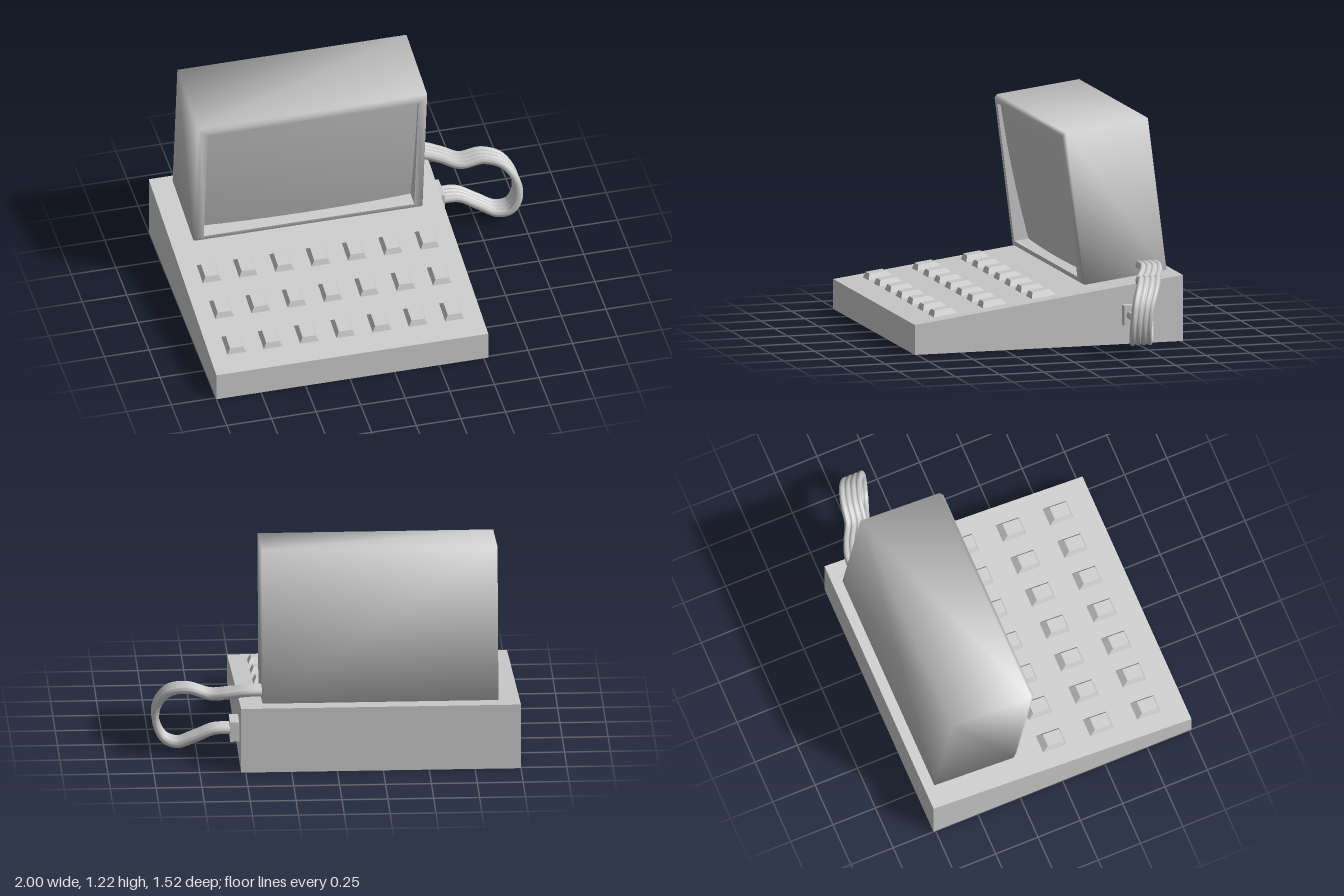
import * as THREE from 'three';

const grey = new THREE.MeshStandardMaterial({ color: 0xcccccc });

function add(parent, name, geometry) {
  const mesh = new THREE.Mesh(geometry, grey);
  mesh.name = name;
  parent.add(mesh);
  return mesh;
}

// Skin a list of closed cross-sections, each counter-clockwise about the direction of travel
function loft(rings, flat) {
  const n = rings[0].length;
  const index = [];
  for (let k = 0; k < rings.length - 1; k++) {
    for (let i = 0; i < n; i++) {
      const a = k * n + i, b = k * n + (i + 1) % n;
      index.push(a, b, b + n, a, b + n, a + n);
    }
  }
  let g = new THREE.BufferGeometry().setFromPoints(rings.flat());
  g.setIndex(index);
  if (flat) g = g.toNonIndexed();
  g.computeVertexNormals();
  return g;
}

// Rectangle ring of half sizes hx, hy at depth z
const rect = (hx, hy, z, oy = 0) =>
  [[-1, -1], [1, -1], [1, 1], [-1, 1]].map(([x, y]) => new THREE.Vector3(x * hx, y * hy + oy, z));

// Wedge-shaped keyboard base
const FRONT_H = 0.165, BACK_H = 0.365, HALF_D = 0.762;
const SLOPE = (BACK_H - FRONT_H) / (2 * HALF_D);

function buildBase(parent) {
  const shape = new THREE.Shape([
    new THREE.Vector2(-HALF_D, 0), new THREE.Vector2(HALF_D, 0),
    new THREE.Vector2(HALF_D, FRONT_H), new THREE.Vector2(-HALF_D, BACK_H),
  ]);
  const g = new THREE.ExtrudeGeometry(shape, { depth: 1.525, bevelEnabled: false });
  g.rotateY(-Math.PI / 2).translate(0.525, 0, 0);
  add(parent, 'base', g);
}

// Three rows of seven tapered keys lying on the slope
function buildKeys(parent) {
  const keys = new THREE.Group();
  keys.name = 'keys';
  parent.add(keys);
  const g = loft([
    rect(0.0525, 0.07, -0.008), rect(0.0525, 0.07, 0),
    rect(0.0365, 0.048, 0.032, -0.008), rect(0, 0, 0.032, -0.008),
  ], true).rotateX(-Math.PI / 2);
  for (const z of [-0.003, 0.275, 0.553]) {
    for (let c = 0; c < 7; c++) {
      const key = add(keys, 'key', g);
      key.position.set(-0.85 + c * 0.2035, FRONT_H + (HALF_D - z) * SLOPE, z);
      key.rotation.x = Math.atan(SLOPE);
    }
  }
}

// Monitor: soft-shaded case, recessed opening and bulging screen
function buildMonitor(parent) {
  const monitor = new THREE.Group();
  monitor.name = 'monitor';
  monitor.position.set(-0.2375, 0.767, -0.41);
  monitor.rotation.x = 0.125;
  parent.add(monitor);
  const hx = 0.6425, hy = 0.426, hz = 0.245, sx = 0.59, sy = 0.386;
  add(monitor, 'monitorCase', loft([
    rect(0, 0, -hz), rect(hx, hy, -hz), rect(hx, hy, hz - 0.02),
    rect(hx - 0.012, hy - 0.015, hz), rect(sx, sy, hz),
  ]));
  add(monitor, 'screenRecess', loft([rect(sx, sy, hz), rect(sx, sy, hz - 0.13)], true));

  // Screen leans back at its foot and bulges in the middle
  const screen = new THREE.PlaneGeometry(sx * 2, sy * 2, 24, 16);
  const p = screen.attributes.position;
  for (let i = 0; i < p.count; i++) {
    const u = p.getX(i) / sx, v = p.getY(i) / sy;
    p.setZ(i, hz - 0.05 + 0.032 * v + 0.018 * (1 - u * u) + 0.012 * (1 - v * v));
  }
  screen.computeVertexNormals();
  add(monitor, 'screen', screen);
}

// Ribbed ribbon cable looping from the monitor to the plug
function buildCable(parent) {
  const plug = add(parent, 'plug', new THREE.BoxGeometry(0.07, 0.11, 0.145));
  plug.position.set(0.54, 0.165, -0.488);

  const curve = new THREE.CatmullRomCurve3([
    [0.37, 0.415, -0.59], [0.49, 0.413, -0.59], [0.58, 0.393, -0.56], [0.68, 0.372, -0.51],
    [0.8, 0.4, -0.487], [0.9, 0.375, -0.45], [0.965, 0.285, -0.405], [0.972, 0.18, -0.39],
    [0.93, 0.095, -0.4], [0.86, 0.072, -0.425], [0.76, 0.115, -0.46],
    [0.66, 0.163, -0.485], [0.55, 0.168, -0.49],
  ].map(q => new THREE.Vector3(...q)));

  // Section: four joined cores, scalloped on both faces
  const half = 0.062, core = half / 4, side = [];
  for (let i = 0; i <= 24; i++) {
    const s = -half + (2 * half * i) / 24;
    const d = ((s + half) % (2 * core)) / core - 1;
    const thick = (i === 0 || i === 24) ? 0.004 : 0.011 + 0.009 * Math.sqrt(Math.max(0, 1 - d * d));
    side.push([s, thick]);
  }
  const section = [
    ...side.map(([s, t]) => [s, -t]),
    ...side.slice().reverse(),
  ];

  const rings = [];
  for (let k = 0; k <= 80; k++) {
    const c = curve.getPoint(k / 80), t = curve.getTangent(k / 80);
    const w = new THREE.Vector3(0, 0, 1).addScaledVector(t, -t.z).normalize();
    const n = new THREE.Vector3().crossVectors(t, w);
    rings.push(section.map(([a, b]) => c.clone().addScaledVector(w, a).addScaledVector(n, b)));
  }
  add(parent, 'ribbonCable', loft(rings));
}

export function createModel() {
  const model = new THREE.Group();
  model.name = 'computerTerminal';
  buildBase(model);
  buildKeys(model);
  buildMonitor(model);
  buildCable(model);
  return model;
}
